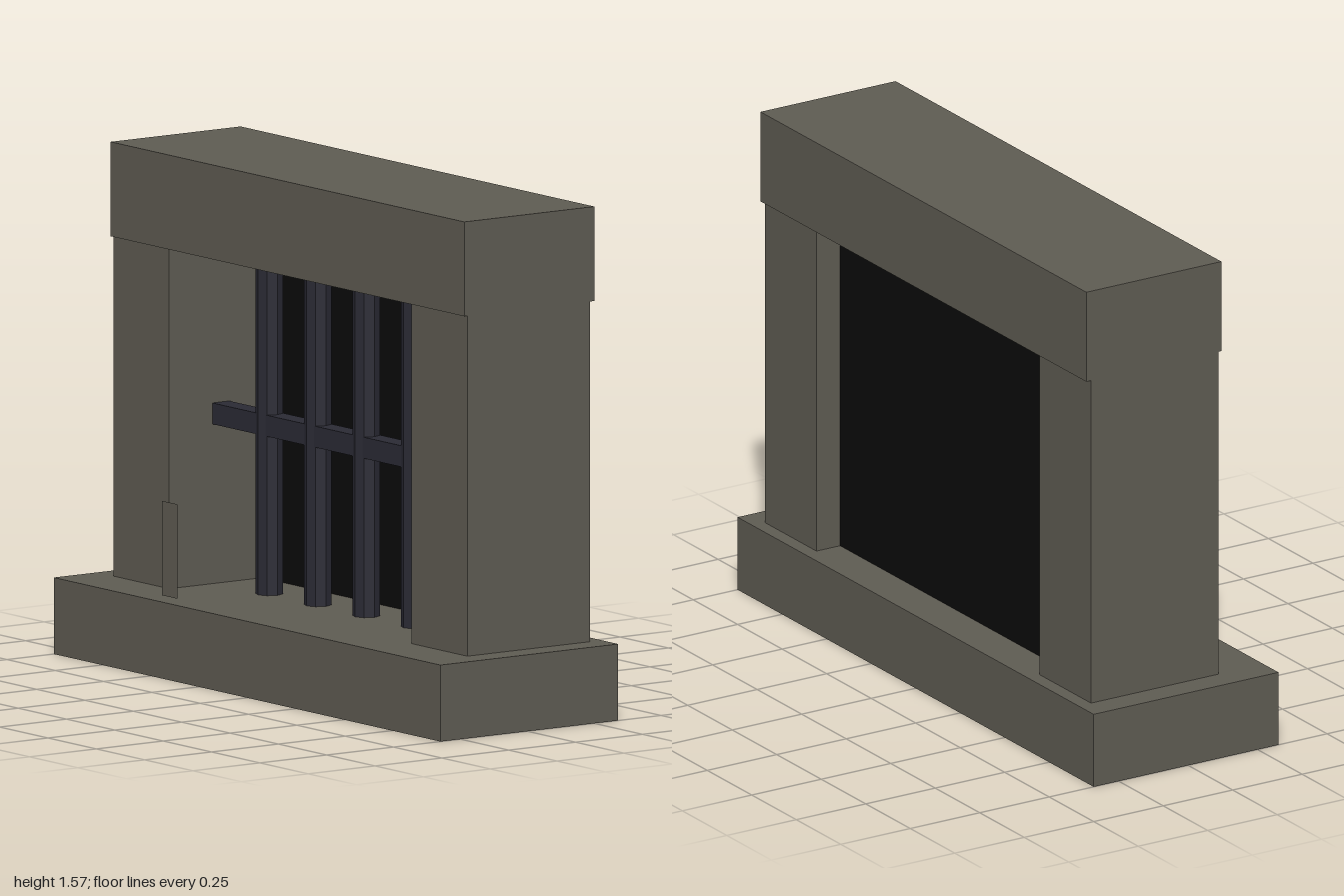
import * as THREE from 'three';

export function createModel() {
  const model = new THREE.Group();
  model.name = 'barredStoneGate';

  const material = (name, color, extra = {}) => {
    const m = new THREE.MeshStandardMaterial({ color, ...extra });
    m.name = name;
    return m;
  };
  const stone = material('stone', 0x5e5b52, { side: THREE.DoubleSide });
  const iron = material('iron', 0x2a2a34, { flatShading: true });
  const shadow = material('blackPanel', 0x0a0a0a);

  const add = (name, geometry, mat, x, y, z) => {
    const mesh = new THREE.Mesh(geometry, mat);
    mesh.name = name;
    mesh.position.set(x, y, z);
    model.add(mesh);
    return mesh;
  };
  // Box given by its limits on each axis
  const box = (name, mat, [x0, x1], [y0, y1], [z0, z1]) =>
    add(name, new THREE.BoxGeometry(x1 - x0, y1 - y0, z1 - z0), mat,
      (x0 + x1) / 2, (y0 + y1) / 2, (z0 + z1) / 2);

  const sill = 0.235, head = 1.28, inner = 0.627, outer = 0.915;

  // Stone frame
  box('base', stone, [-1, 1], [0, sill], [-0.34, 0.325]);
  box('leftPillar', stone, [inner, outer], [sill, head], [-0.295, 0.163]);
  box('rightPillar', stone, [-outer, -inner], [sill, head], [-0.295, 0.163]);
  box('lintel', stone, [-outer, outer], [head, 1.57], [-0.312, 0.174]);

  // Dark panel closing the opening
  box('backPanel', shadow, [-inner, inner], [sill, head], [-0.21, -0.183]);

  // Upright bars and the crossbar through them
  const barZ = -0.03;
  const barGeometry = new THREE.CylinderGeometry(0.042, 0.042, head - sill, 8);
  for (let i = 0; i < 4; i++) {
    add(`bar${i + 1}`, barGeometry, iron, (i - 1.5) * 0.251, (sill + head) / 2, barZ);
  }
  box('crossbar', iron, [-inner, inner], [0.725, 0.79], [barZ - 0.032, barZ + 0.032]);

  // Thin upright plaque in front of the opening
  add('plaque', new THREE.PlaneGeometry(0.08, 0.29), stone, -0.378, 0.405, 0.34);

  return model;
}
